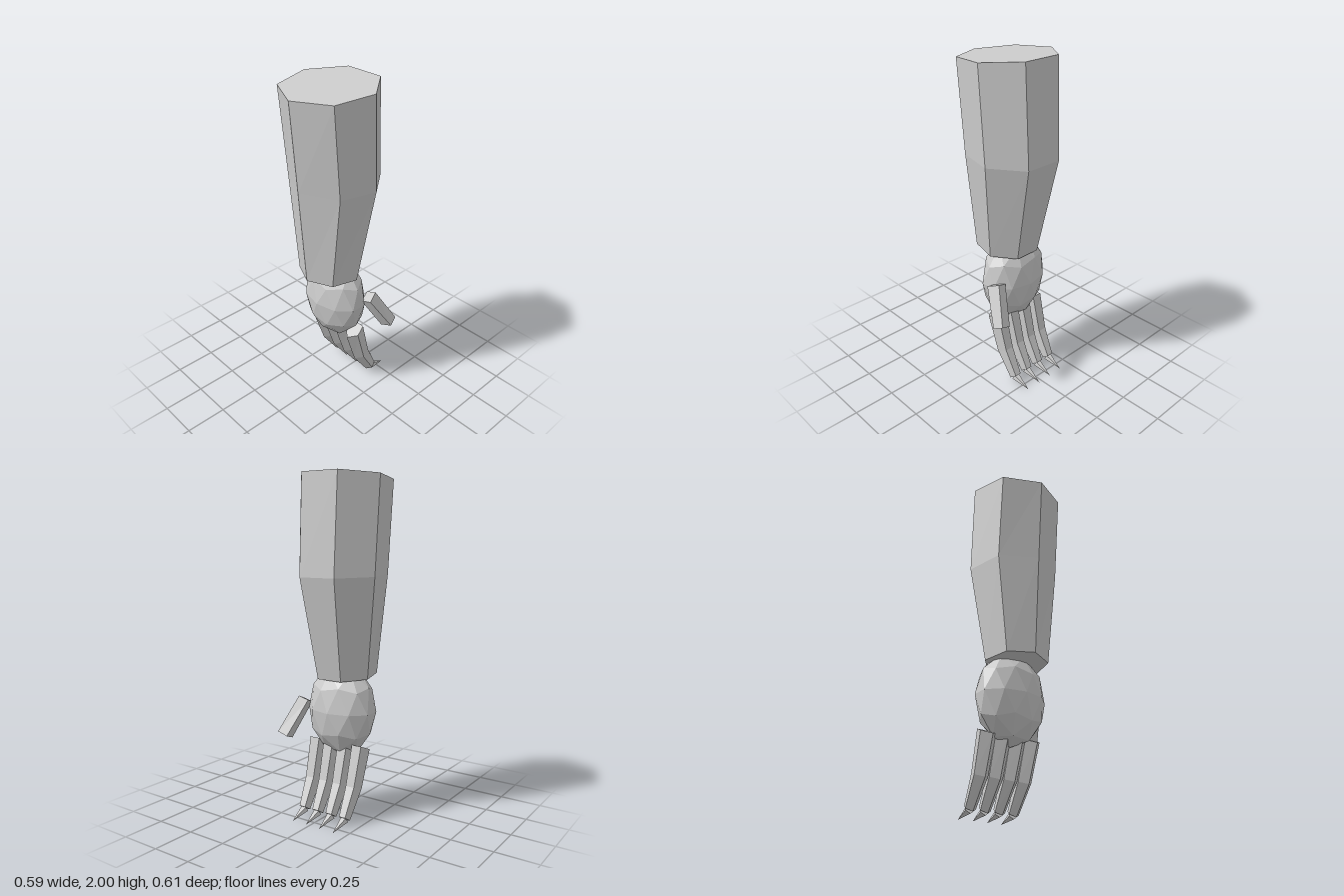
import * as THREE from 'three';

const grey = new THREE.MeshStandardMaterial({ color: 0xcccccc, flatShading: true });
grey.name = 'plainGrey';

// Capped loft through rings listed from bottom to top, each anticlockwise from above
function loft(name, rings) {
  const pos = [];
  const tri = (a, b, c) => pos.push(...a, ...b, ...c);
  const n = rings[0].length;
  for (let r = 0; r < rings.length - 1; r++) {
    const lo = rings[r], up = rings[r + 1];
    for (let i = 0; i < n; i++) {
      const j = (i + 1) % n;
      tri(lo[i], lo[j], up[j]);
      tri(lo[i], up[j], up[i]);
    }
  }
  const bottom = rings[0], top = rings[rings.length - 1];
  for (let i = 1; i < n - 1; i++) {
    tri(bottom[0], bottom[i + 1], bottom[i]);
    tri(top[0], top[i], top[i + 1]);
  }
  const g = new THREE.BufferGeometry();
  g.setAttribute('position', new THREE.Float32BufferAttribute(pos, 3));
  g.computeVertexNormals();
  const mesh = new THREE.Mesh(g, grey);
  mesh.name = name;
  return mesh;
}

// Seven-sided forearm section: half-widths and depths of side, flank and back corners
function armRing(xs, zs, yFront, yBack) {
  const y = z => THREE.MathUtils.mapLinear(z, zs[0], zs[3], yFront, yBack);
  const pt = (s, i) => [-0.025 + s * xs[i], y(zs[i]), zs[i]];
  return [pt(1, 0), pt(1, 1), pt(1, 2), pt(1, 3), pt(-1, 3), pt(-1, 2), pt(-1, 1)];
}

// Five-sided finger section between a front point and a back edge, given as [z, y]
function fingerRing(x, half, front, back) {
  const pt = (k, t) => [
    x + k * half,
    THREE.MathUtils.lerp(front[1], back[1], t),
    THREE.MathUtils.lerp(front[0], back[0], t),
  ];
  return [pt(0, 0), pt(1, 0.42), pt(0.62, 1), pt(-0.62, 1), pt(-1, 0.42)];
}

export function createModel() {
  const model = new THREE.Group();
  model.name = 'forearmAndHand';

  // Forearm
  model.add(loft('forearm', [
    armRing([0, 0.146, 0.182, 0.08], [0.22, 0.15, -0.01, -0.135], 0.85, 0.83),
    armRing([0, 0.212, 0.262, 0.117], [0.264, 0.155, -0.068, -0.252], 1.44, 1.425),
    armRing([0, 0.217, 0.27, 0.12], [0.305, 0.201, -0.033, -0.222], 1.965, 2.0),
  ]));

  // Palm: faceted ball with a corner at each pole
  const ball = new THREE.IcosahedronGeometry(1, 1);
  ball.rotateX(-Math.atan2((1 + Math.sqrt(5)) / 2, 1));
  ball.rotateY(Math.PI / 2);
  ball.scale(0.22, 0.28, 0.155);
  ball.translate(-0.03, 0.64, -0.01);
  const palm = new THREE.Mesh(ball, grey);
  palm.name = 'palm';
  model.add(palm);

  // Four curled fingers, each with a claw
  for (let i = 0; i < 4; i++) {
    const k = i - 1.5;
    const x = s => -0.025 + k * s;
    const finger = new THREE.Group();
    finger.name = 'finger' + (i + 1);
    finger.add(loft('fingerSegments', [
      fingerRing(x(0.0957), 0.033, [-0.155, 0.022], [-0.212, 0.06]),
      fingerRing(x(0.097), 0.045, [-0.04, 0.185], [-0.135, 0.22]),
      fingerRing(x(0.1), 0.051, [0.035, 0.405], [-0.075, 0.452]),
    ]));
    const tip = [x(0.0957), 0, -0.305];
    finger.add(loft('claw', [
      Array(5).fill(tip),
      fingerRing(x(0.0957), 0.026, [-0.178, 0.014], [-0.2, 0.052]),
    ]));
    model.add(finger);
  }

  // Thumb
  model.add(loft('thumb', [
    [[0.225, 0.456, -0.167], [0.293, 0.478, -0.182], [0.275, 0.504, -0.24], [0.213, 0.482, -0.235]],
    [[0.16, 0.665, -0.05], [0.228, 0.685, -0.06], [0.2, 0.71, -0.13], [0.14, 0.69, -0.12]],
  ]));

  return model;
}
